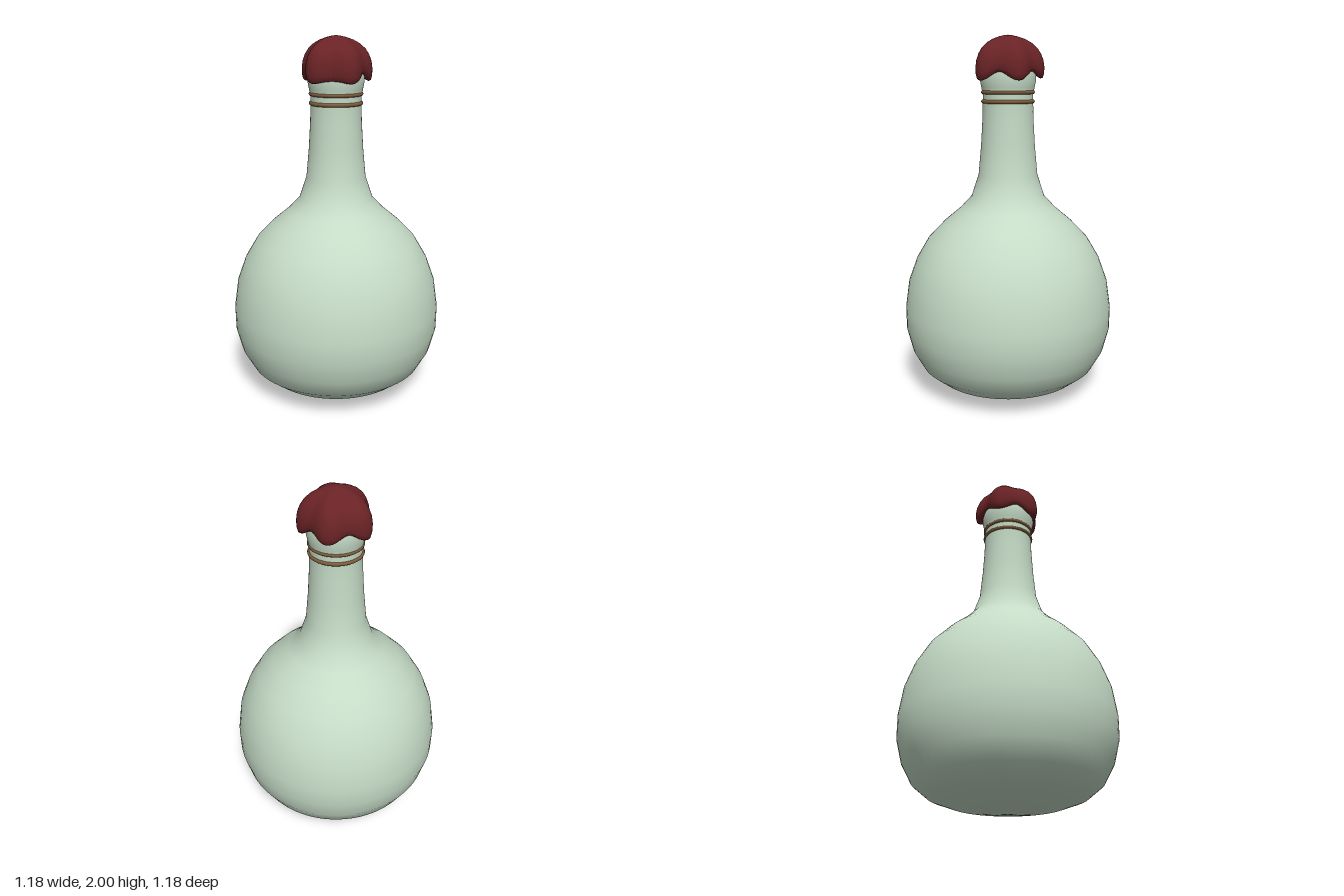
import * as THREE from 'three';

const glass = new THREE.MeshStandardMaterial({ color: 0xc5dbc6 });
glass.name = 'pale green glass';
const wax = new THREE.MeshStandardMaterial({ color: 0x6a2326 });
wax.name = 'dark red wax';
const twine = new THREE.MeshStandardMaterial({ color: 0x7d5c3b });
twine.name = 'brown twine';

function addMesh(group, name, geometry, material) {
  const mesh = new THREE.Mesh(geometry, material);
  mesh.name = name;
  group.add(mesh);
  return mesh;
}

// Wax cap: a domed lathe whose radius swells into five lobes and whose rim drips
function waxCapGeometry() {
  const rim = 1.78;
  const profile = [
    [0.13, 1.80], [0.15, 1.787], [0.165, 1.78], [0.176, 1.785], [0.182, 1.805],
    [0.183, 1.835], [0.178, 1.868], [0.166, 1.9], [0.148, 1.93], [0.12, 1.957],
    [0.088, 1.977], [0.05, 1.991], [0.02, 1.998], [0, 2.0],
  ].map(([r, y]) => new THREE.Vector2(r, y));
  const geometry = new THREE.LatheGeometry(profile, 80);
  const pos = geometry.attributes.position;
  for (let i = 0; i < pos.count; i++) {
    const x = pos.getX(i), y = pos.getY(i), z = pos.getZ(i);
    const r = Math.hypot(x, z);
    const angle = Math.atan2(x, -z); // 0 at the back lobe
    const lobe = Math.cos(5 * angle);
    const front = Math.pow(Math.max(0, -Math.cos(angle)), 6);
    const back = Math.pow(Math.max(0, Math.cos(angle)), 6);
    const swell = 1 + 0.085 * lobe * Math.min(1, r / 0.12);
    const low = THREE.MathUtils.clamp((1.88 - y) / (1.88 - rim), 0, 1);
    const drip = (0.022 * lobe * (1 - 0.6 * front) + 0.02 * front - 0.01 * back) * low;
    pos.setXYZ(i, x * swell, y - drip, z * swell);
  }
  geometry.computeVertexNormals();
  // Match the normals along the seam, which lies on the symmetry plane
  const normal = geometry.attributes.normal;
  const n = profile.length;
  for (let j = 0; j < n; j++) {
    for (const i of [j, pos.count - n + j]) {
      const v = new THREE.Vector3(0, normal.getY(i), normal.getZ(i)).normalize();
      normal.setXYZ(i, v.x, v.y, v.z);
    }
  }
  return geometry;
}

export function createModel() {
  const model = new THREE.Group();
  model.name = 'bottle';

  // Round body, neck and lip in one turned profile
  const profile = [
    [0, 0], [0.16, 0.022], [0.31, 0.046], [0.42, 0.085], [0.5, 0.15], [0.555, 0.25],
    [0.586, 0.37], [0.588, 0.49], [0.566, 0.64], [0.52, 0.765], [0.452, 0.88],
    [0.36, 0.975], [0.27, 1.05], [0.205, 1.12], [0.165, 1.24], [0.15, 1.4],
    [0.141, 1.55], [0.138, 1.68], [0.146, 1.72], [0.154, 1.76], [0.153, 1.82], [0.13, 1.86],
  ].map(([r, y]) => new THREE.Vector2(r, y));
  addMesh(model, 'glassBody', new THREE.LatheGeometry(profile, 72), glass);

  // Two twine rings round the neck
  [1.645, 1.695].forEach((y, i) => {
    const ring = addMesh(model, `neckRing${i + 1}`, new THREE.TorusGeometry(0.137, 0.011, 10, 64), twine);
    ring.rotation.x = Math.PI / 2;
    ring.position.y = y;
  });

  addMesh(model, 'waxCap', waxCapGeometry(), wax);
  return model;
}
